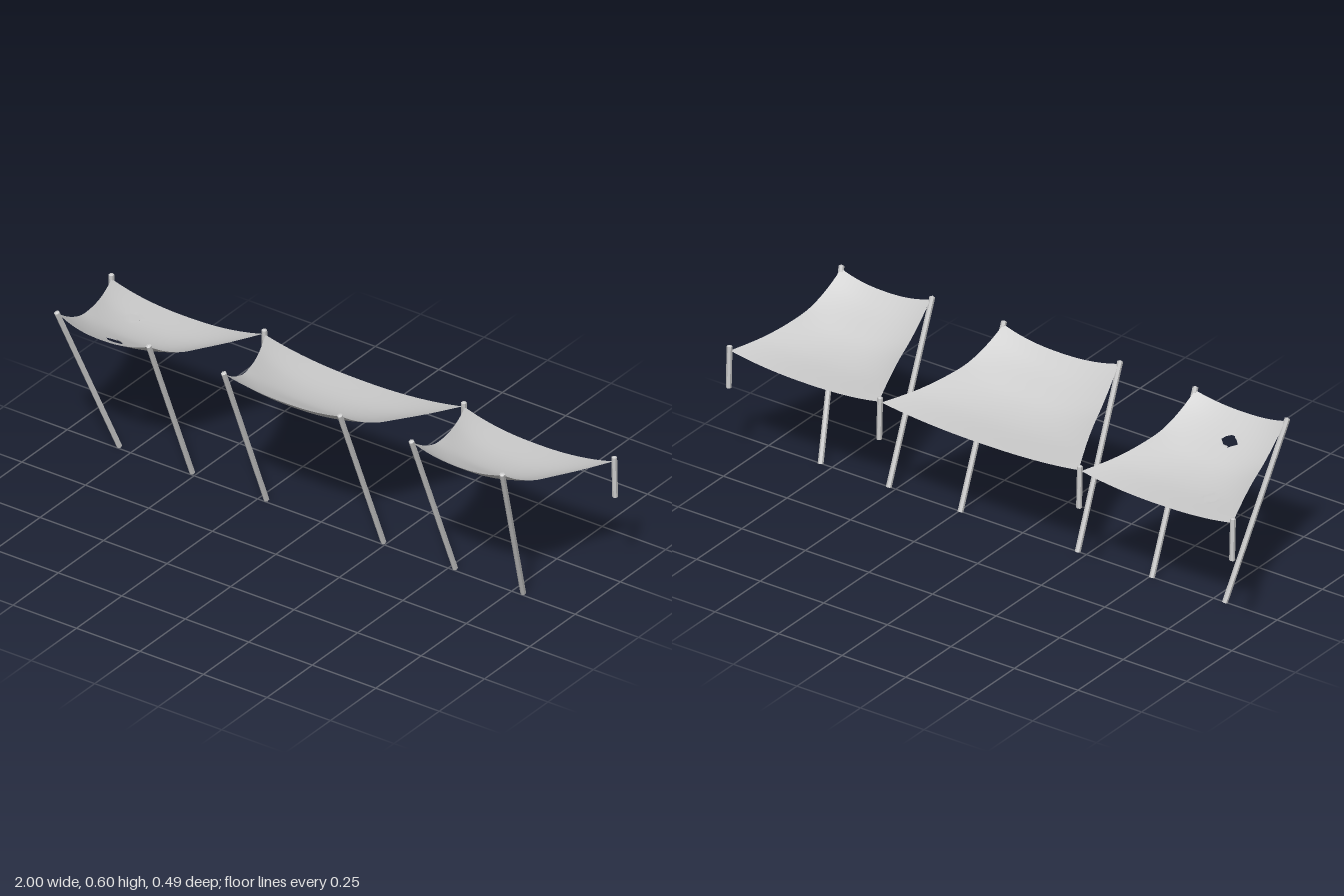
import * as THREE from 'three';

const grey = new THREE.MeshStandardMaterial({ color: 0xcccccc });
const cloth = new THREE.MeshStandardMaterial({ color: 0xcccccc, side: THREE.DoubleSide });
const N = 32;

// Six-sided pole with a shallow pointed cap
function pole(name, bottom, top) {
  const a = new THREE.Vector3(...bottom), b = new THREE.Vector3(...top);
  const len = a.distanceTo(b), r = 0.0095;
  const profile = [[0, 0], [r, 0], [r, len - 0.004], [0, len]].map(p => new THREE.Vector2(...p));
  const geo = new THREE.LatheGeometry(profile, 6).toNonIndexed();
  geo.computeVertexNormals();
  const mesh = new THREE.Mesh(geo, grey);
  mesh.name = name;
  mesh.position.copy(a);
  mesh.quaternion.setFromUnitVectors(new THREE.Vector3(0, 1, 0), b.sub(a).normalize());
  return mesh;
}

// Side-view curves (z, y), back to front: along the taut edge and the sagging middle
const curve = pts => new THREE.CatmullRomCurve3(pts.map(([z, y]) => new THREE.Vector3(0, y, z)));
const edge = curve([[-0.23, 0.455], [-0.11, 0.465], [0.0, 0.483], [0.08, 0.502], [0.16, 0.54], [0.228, 0.585]]);
const middle = front => curve([[-0.22, 0.423], [-0.065, 0.428], [0.03, 0.447], [0.1, 0.477], [0.17, 0.513], [front, 0.556]]);

// Push a point inside a convex tear out to its rim; returns true if it was moved
function pushOut(p, tear) {
  const cx = tear.reduce((s, q) => s + q[0], 0) / tear.length;
  const cz = tear.reduce((s, q) => s + q[1], 0) / tear.length;
  let t = 0;
  tear.forEach(([ax, az], i) => {
    const [bx, bz] = tear[(i + 1) % tear.length];
    const nx = bz - az, nz = ax - bx;
    t = Math.max(t, (nx * (p.x - cx) + nz * (p.z - cz)) / (nx * (ax - cx) + nz * (az - cz)));
  });
  if (t >= 1) return false;
  t = Math.max(t, 0.001);
  p.x = cx + (p.x - cx) / t;
  p.z = cz + (p.z - cz) / t;
  return true;
}

// Sagging cloth between four corners, optionally torn
function sail(name, backL, backR, frontL, frontR, frontZ, tears = []) {
  const pos = [], moved = [], index = [], mid = middle(frontZ);
  for (let j = 0; j <= N; j++) {
    const v = j / N, e = edge.getPoint(v), m = mid.getPoint(v);
    const d = (e.z + 0.23) / 0.458;
    const pinch = 0.02 * Math.sin(Math.PI * d);
    const x0 = THREE.MathUtils.lerp(backL, frontL, d) + pinch;
    const x1 = THREE.MathUtils.lerp(backR, frontR, d) - pinch;
    for (let i = 0; i <= N; i++) {
      const u = i / N, sag = 1 - Math.pow(Math.abs(2 * u - 1), 2.3);
      const p = e.clone().lerp(m, sag);
      p.x = THREE.MathUtils.lerp(x0, x1, u);
      moved.push(tears.map(t => pushOut(p, t)).some(Boolean));
      pos.push(p.x, p.y, p.z);
    }
  }
  const tri = (a, b, c) => { if (!(moved[a] && moved[b] && moved[c])) index.push(a, b, c); };
  for (let j = 0; j < N; j++) for (let i = 0; i < N; i++) {
    const a = j * (N + 1) + i, c = a + N + 1;
    tri(a, c, a + 1);
    tri(a + 1, c, c + 1);
  }
  const geo = new THREE.BufferGeometry();
  geo.setAttribute('position', new THREE.Float32BufferAttribute(pos, 3));
  geo.setIndex(index);
  geo.computeVertexNormals();
  const mesh = new THREE.Mesh(geo, cloth);
  mesh.name = name;
  return mesh;
}

export function createModel() {
  const g = new THREE.Group();
  g.name = 'awnings';

  // Long leaning front poles: [bottom x, top x]
  [[-0.8, -0.875], [-0.513, -0.513], [-0.221, -0.217], [0.24, 0.24], [0.522, 0.522], [0.79, 0.88]]
    .forEach(([b, t], i) => g.add(pole('frontPole' + (i + 1), [b, 0.004, -0.008], [t, 0.596, 0.235])));

  // Short back posts
  [-0.99, -0.388, 0.398, 0.99]
    .forEach((x, i) => g.add(pole('backPost' + (i + 1), [x, 0.322, -0.235], [x, 0.475, -0.23])));

  // Cloth sails, the right one with two tears
  const tears = [
    [[-0.845, -0.104], [-0.823, -0.126], [-0.786, -0.11], [-0.797, -0.078], [-0.834, -0.088]],
    [[-0.749, 0.142], [-0.711, 0.115], [-0.674, 0.147], [-0.711, 0.168]],
  ];
  g.add(sail('rightSail', -0.988, -0.393, -0.87, -0.516, 0.242, tears));
  g.add(sail('middleSail', -0.383, 0.393, -0.215, 0.238, 0.222));
  g.add(sail('leftSail', 0.403, 0.988, 0.525, 0.876, 0.228));
  return g;
}
